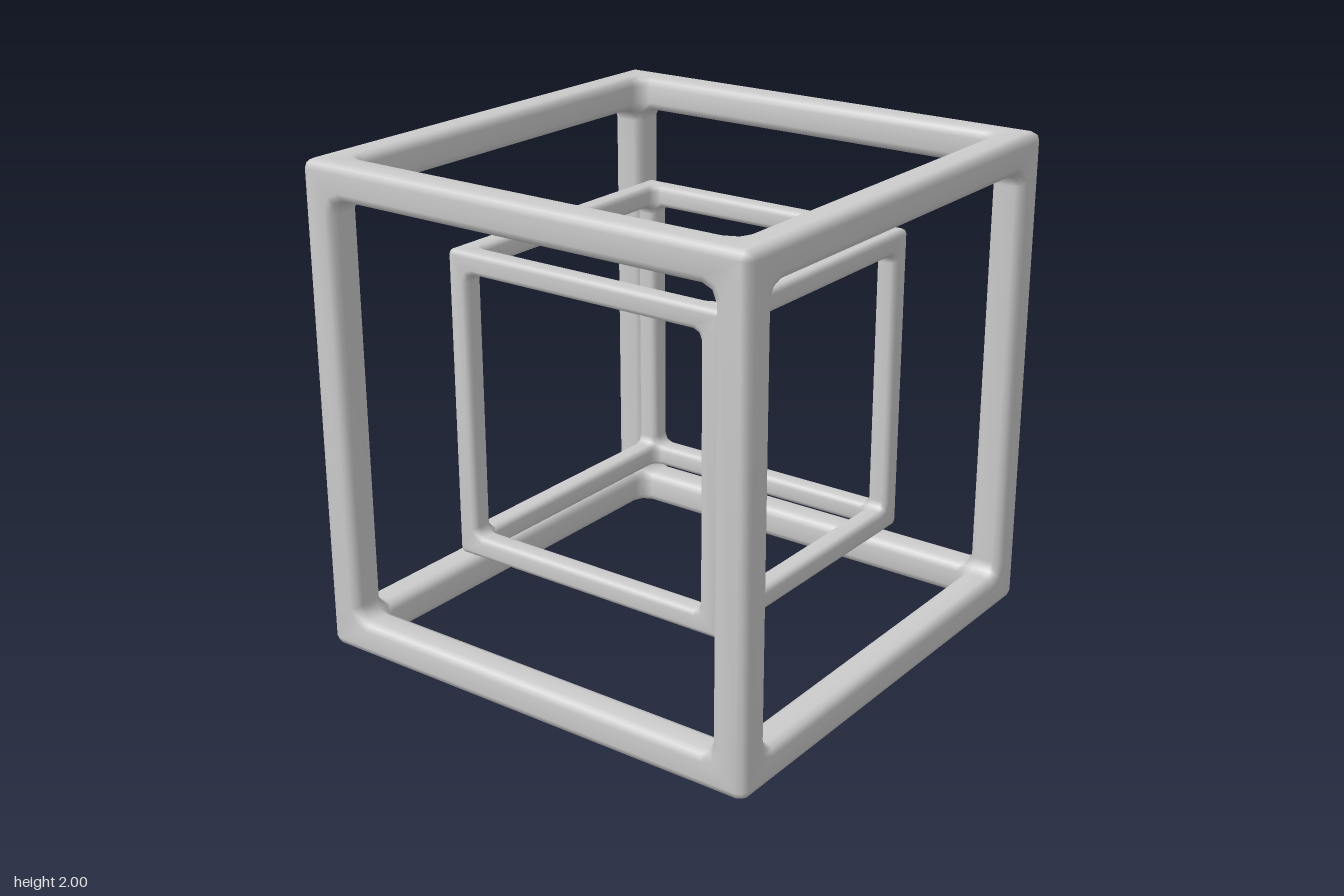
import * as THREE from 'three';
import { mergeGeometries, mergeVertices } from 'three/addons/utils/BufferGeometryUtils.js';

// Loops of one cube side, from its outer edge to the inner edge of its opening:
// [half width, height, corner radius, half width at the middle of the corner, height there]
const b = 0.036, m = 0.011, open = 0.856;
const loops = [
  [1 - m, 1 - m, b - m, 0.984, 0.984],
  [1 - b, 1, 0],
  [open + b, 1, 0.074],
  [open + m, 1 - m, 0.06],
  [open, 1 - b, 0.054],
  [open, open + b, 0.054],
  [open + m, open + m, 0.06, 0.846, 0.846],
];

// Twelve points round a square with softened corners
function loopPoints([u, h, r, um = u - 0.3 * r, hm = h]) {
  const corner = [[u, u - r, h], [um, um, hm], [u - r, u, h]];
  const points = [];
  for (let q = 0; q < 4; q++) {
    for (const [x, y, z] of corner) {
      points.push([[x, y, z], [-y, x, z], [-x, -y, z], [y, -x, z]][q]);
    }
  }
  return points;
}

// One side of the frame, facing +z
function sideGeometry() {
  const positions = loops.flatMap(loopPoints).flat();
  const index = [];
  for (let i = 0; i < loops.length - 1; i++) {
    for (let j = 0; j < 12; j++) {
      const k = (j + 1) % 12;
      const a = i * 12 + j, c = i * 12 + k, d = a + 12, e = c + 12;
      if (i === 0 && j % 3 !== 2) index.push(a, c, e);      // outer corner tip
      else if (i === 1 && j % 3 !== 2) index.push(a, e, d); // fan from the sharp corner
      else index.push(a, c, e, a, e, d);
    }
  }
  const geometry = new THREE.BufferGeometry();
  geometry.setAttribute('position', new THREE.Float32BufferAttribute(positions, 3));
  geometry.setIndex(index);
  return geometry;
}

// Six sides welded into one smooth cube frame
function frameGeometry() {
  const sides = [];
  for (let i = 0; i < 4; i++) sides.push(sideGeometry().rotateY(i * Math.PI / 2));
  for (const s of [-1, 1]) sides.push(sideGeometry().rotateX(s * Math.PI / 2));
  const geometry = mergeVertices(mergeGeometries(sides), 1e-4);
  geometry.computeVertexNormals();
  return geometry;
}

export function createModel() {
  const model = new THREE.Group();
  model.name = 'nestedCubeFrames';
  const material = new THREE.MeshStandardMaterial({ color: 0xcccccc });
  const geometry = frameGeometry();

  // Large frame with a smaller one floating at its centre
  for (const [name, size] of [['outerFrame', 1], ['innerFrame', 0.633]]) {
    const frame = new THREE.Mesh(geometry, material);
    frame.name = name;
    frame.scale.setScalar(size);
    frame.position.y = 1;
    model.add(frame);
  }
  return model;
}
